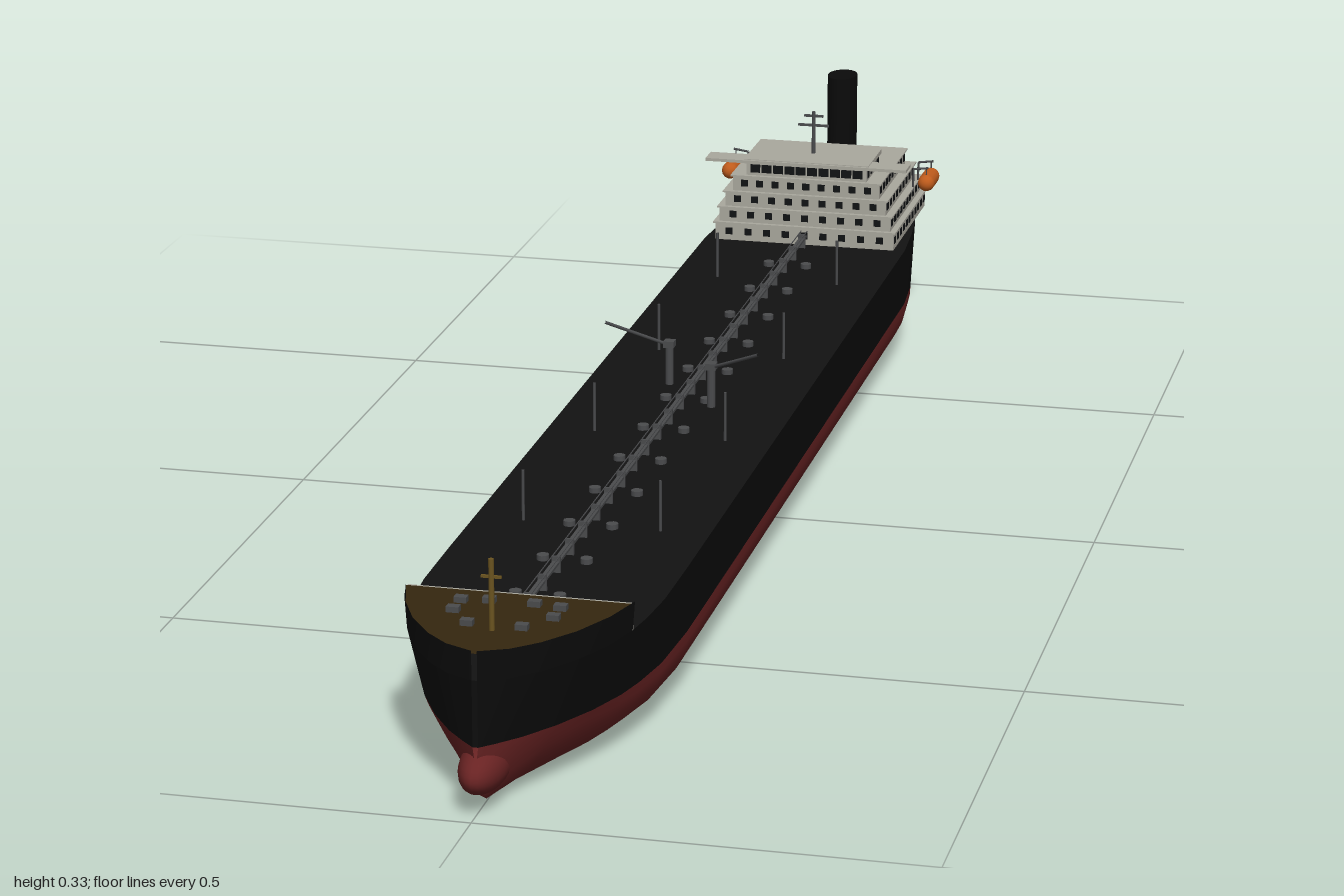
import * as THREE from 'three';
import { mergeGeometries, toCreasedNormals } from 'three/addons/utils/BufferGeometryUtils.js';

const mat = (name, color, side = THREE.FrontSide) => {
  const m = new THREE.MeshStandardMaterial({ color, side });
  m.name = name;
  return m;
};

// Hull stations: z, half width at deck, half width at waterline, keel height, fullness of the bottom
const STATIONS = [
  [-0.98, 0.078, 0.055, 0.1, 0.6], [-0.95, 0.09, 0.07, 0.09, 0.6], [-0.925, 0.097, 0.078, 0.08, 0.6],
  [-0.9, 0.103, 0.086, 0.068, 0.65], [-0.85, 0.115, 0.102, 0.042, 0.75], [-0.8, 0.124, 0.117, 0.018, 0.88],
  [-0.74, 0.131, 0.13, 0.006, 0.97], [-0.66, 0.137, 0.137, 0.003, 1], [0.6, 0.137, 0.137, 0.003, 1],
  [0.7, 0.136, 0.132, 0.003, 0.95], [0.76, 0.131, 0.122, 0.003, 0.88], [0.8, 0.125, 0.112, 0.003, 0.8],
  [0.85, 0.111, 0.093, 0.003, 0.65], [0.9, 0.088, 0.067, 0.004, 0.48], [0.94, 0.06, 0.04, 0.006, 0.35],
  [0.965, 0.034, 0.018, 0.02, 0.3], [0.98, 0.003, 0.003, 0.06, 0.3],
];
const WATER = 0.08, DECK = 0.155, FORE = 0.188;
// Midship bottom: fraction of half width, fraction of height
const BOTTOM = [[0, 0], [0.3, 0.05], [0.58, 0.13], [0.78, 0.24], [0.91, 0.42], [0.98, 0.66], [1, 0.85], [1, 1]];

// Skin between cross-sections; each section runs from -x around the bottom to +x
function loft(rows, capStart = false) {
  const n = rows[0].length, index = [];
  for (let i = 0; i < rows.length - 1; i++) {
    for (let j = 0; j < n - 1; j++) {
      const a = i * n + j, b = a + 1, c = a + n, d = c + 1;
      index.push(a, b, c, b, d, c);
    }
  }
  if (capStart) for (let j = 1; j < n - 1; j++) index.push(0, j + 1, j);
  const g = new THREE.BufferGeometry();
  g.setAttribute('position', new THREE.Float32BufferAttribute(rows.flat(2), 3));
  g.setIndex(index);
  g.computeVertexNormals();
  return toCreasedNormals(g, 0.6);
}
const mirrored = (half) => [...half.slice().reverse().map(([x, y, z]) => [-x, y, z]), ...half];

const box = (w, h, d, x, y, z) => new THREE.BoxGeometry(w, h, d).translate(x, y, z);
const cyl = (r, h, x, y, z, sides = 10) => new THREE.CylinderGeometry(r, r, h, sides).translate(x, y + h / 2, z);
function rod(a, b, r) {
  const p = new THREE.Vector3(...a), q = new THREE.Vector3(...b);
  return new THREE.TubeGeometry(new THREE.LineCurve3(p, q), 1, r, 6);
}

export function createModel() {
  const ship = new THREE.Group();
  const black = mat('hullBlack', 0x0b0b0b, THREE.DoubleSide);
  const red = mat('bottomRed', 0x692323);
  const deckDark = mat('deckDark', 0x121212);
  const brown = mat('foredeckBrown', 0x35270f);
  const grey = mat('houseGrey', 0xaaa89e);
  const glass = mat('windowDark', 0x101214);
  const steel = mat('steelGrey', 0x4a4b4d);
  const orange = mat('lifeboatOrange', 0xc05c1c);
  const bronze = mat('bronze', 0x6b5420);
  const add = (name, geometry, material) => {
    const g = Array.isArray(geometry) ? mergeGeometries(geometry) : geometry;
    const m = new THREE.Mesh(g, material);
    m.name = name;
    ship.add(m);
    return m;
  };

  // Underwater hull and bulb
  add('lowerHull', loft(STATIONS.filter((s) => s[3] <= WATER).map(([z, , w, keel, full]) =>
    mirrored(BOTTOM.map(([s, t]) => [w * s * (full + (1 - full) * t), keel + (WATER - keel) * t, z])))), red);
  add('bulb', new THREE.SphereGeometry(1, 24, 16).scale(0.026, 0.028, 0.06).translate(0, 0.047, 0.94), red);

  // Topsides, main deck and raised bow
  add('upperHull', loft(STATIONS.map(([z, d, w, keel]) => {
    const low = Math.max(WATER, keel);
    return mirrored([[0, low, z], [w, low, z], [d, DECK, z]]);
  }), true), black);
  const deck = (list, y, k) => loft(list.map(([z, d]) => [[d * k, y, z], [-d * k, y, z]]));
  const bow = STATIONS.filter((s) => s[0] >= 0.8);
  add('mainDeck', deck(STATIONS, DECK, 1), deckDark);
  for (const side of [1, -1]) {
    const wall = bow.map(([z, d]) => {
      const p = [[side * d, DECK, z], [side * d * 1.02, FORE, z]];
      return side > 0 ? p : p.reverse();
    });
    add('forecastleSide', loft(wall), black);
  }
  add('foredeck', deck(bow, FORE - 0.003, 1.01), brown);
  add('forecastleBulkhead', box(0.25, 0.03, 0.004, 0, 0.17, 0.799), grey);
  const winches = [];
  for (const s of [1, -1]) {
    for (const [x, z] of [[0.025, 0.83], [0.055, 0.835], [0.055, 0.865], [0.03, 0.9]]) {
      winches.push(box(0.014, 0.007, 0.01, s * x, FORE, z));
    }
  }
  add('bowWinches', winches, steel);
  add('foremast', [cyl(0.003, 0.08, 0, 0.185, 0.91), box(0.022, 0.003, 0.003, 0, 0.245, 0.91)], bronze);

  // Rudder and propeller
  add('rudder', box(0.012, 0.085, 0.042, 0, 0.062, -0.979), red);
  add('propellerShaft', new THREE.CylinderGeometry(0.006, 0.014, 0.1, 12).rotateX(-Math.PI / 2).translate(0, 0.042, -0.875), red);
  const blades = [new THREE.SphereGeometry(0.007, 12, 8)];
  for (let i = 0; i < 4; i++) {
    blades.push(new THREE.SphereGeometry(1, 10, 8).scale(0.008, 0.013, 0.002).rotateY(0.6)
      .translate(0, 0.014, 0).rotateZ(i * Math.PI / 2));
  }
  add('propeller', mergeGeometries(blades).translate(0, 0.042, -0.93), bronze);

  // Central pipe run with supports, and deck hatches
  const run = [box(0.008, 0.003, 1.44, 0, 0.167, 0.06)];
  for (const s of [1, -1]) run.push(box(0.001, 0.001, 1.44, s * 0.004, 0.174, 0.06));
  for (let i = 0; i <= 24; i++) run.push(box(0.01, 0.02, 0.003, 0, 0.164, -0.64 + i * 0.0585));
  add('catwalk', run, steel);
  const hatches = [];
  for (let i = 0; i < 12; i++) {
    for (const s of [1, -1]) hatches.push(cyl(0.007, 0.006, s * 0.025, DECK, -0.55 + i * 0.116));
  }
  add('hatches', hatches, steel);
  const posts = [];
  for (const z of [0.49, 0.165, -0.16, -0.485]) {
    for (const s of [1, -1]) posts.push(cyl(0.0018, 0.06, s * 0.08, DECK, z, 6));
  }
  add('deckPosts', posts, steel);

  // Two midship cranes
  for (const [s, z, reach] of [[1, 0.045, 0.055], [-1, -0.03, 0.045]]) {
    add('crane', [cyl(0.005, 0.055, s * 0.035, DECK, z), box(0.013, 0.008, 0.013, s * 0.035, 0.207, z),
      rod([s * 0.035, 0.205, z], [s * 0.105, 0.243, z + reach], 0.002)], steel);
  }

  // Deckhouse tiers: half width, bottom, top, front z, back z
  const tiers = [
    [0.122, 0.155, 0.18, -0.655, -0.88], [0.117, 0.18, 0.201, -0.658, -0.87],
    [0.11, 0.201, 0.222, -0.661, -0.858], [0.1, 0.222, 0.244, -0.664, -0.846],
    [0.082, 0.244, 0.263, -0.667, -0.752],
  ];
  const house = [], panes = [];
  tiers.forEach(([w, y0, y1, zf, zb], k) => {
    const top = k === 4, h = y1 - y0, ym = (y0 + y1) / 2, len = zf - zb;
    house.push(box(w * 2, h, len, 0, ym, (zf + zb) / 2));
    house.push(box(w * 2 + 0.006, 0.002, len + 0.006, 0, y1 - 0.001, (zf + zb) / 2));
    const pw = top ? 0.0135 : 0.0095, ph = top ? 0.011 : 0.009;
    const n = top ? 10 : 9, m = Math.round(len / 0.021);
    for (let i = 0; i < n; i++) {
      panes.push(box(pw, ph, 0.002, (i - (n - 1) / 2) * w * 1.9 / n, ym, zf));
    }
    for (let i = 0; i < m; i++) {
      for (const s of [1, -1]) panes.push(box(0.002, ph, 0.0095, s * w, ym, zf - (i + 0.5) * len / m));
    }
  });
  house.push(box(0.274, 0.004, 0.032, 0, 0.264, -0.675)); // bridge wings
  house.push(box(0.17, 0.004, 0.09, 0, 0.265, -0.708));
  add('deckhouse', house, grey);
  add('windows', panes, glass);
  add('radarMast', [cyl(0.0025, 0.06, 0, 0.265, -0.712), box(0.042, 0.003, 0.003, 0, 0.306, -0.712),
    box(0.026, 0.003, 0.003, 0, 0.319, -0.712)], steel);

  // Stern deck with funnel and winches
  const outline = new THREE.Shape([[-0.1, 0.87], [0.1, 0.87], [0.087, 0.955], [0.078, 0.979], [-0.078, 0.979], [-0.087, 0.955]]
    .map(([x, y]) => new THREE.Vector2(x, y)));
  add('sternDeck', new THREE.ExtrudeGeometry(outline, { depth: 0.02, bevelEnabled: false })
    .rotateX(-Math.PI / 2).translate(0, 0.157, 0), grey);
  add('funnel', new THREE.CylinderGeometry(1, 1, 0.153, 28).scale(0.02, 1, 0.028).translate(0, 0.2515, -0.903), black);
  add('sternWinches', [1, -1].map((s) => box(0.022, 0.009, 0.014, s * 0.048, 0.18, -0.953)), deckDark);
  add('sternStaff', cyl(0.0015, 0.025, 0, 0.177, -0.975, 6), steel);

  // Lifeboats hung from davits
  for (const s of [1, -1]) {
    add('lifeboat', new THREE.CapsuleGeometry(0.0115, 0.035, 6, 14).rotateX(Math.PI / 2)
      .translate(s * 0.137, 0.208, -0.826), orange);
    const arms = [];
    for (const z of [-0.808, -0.844]) {
      arms.push(rod([s * 0.119, 0.195, z], [s * 0.119, 0.226, z], 0.0015));
      arms.push(rod([s * 0.119, 0.226, z], [s * 0.14, 0.229, z], 0.0015));
      arms.push(rod([s * 0.137, 0.229, z], [s * 0.137, 0.212, z], 0.0008));
    }
    add('davits', arms, steel);
  }
  return ship;
}
